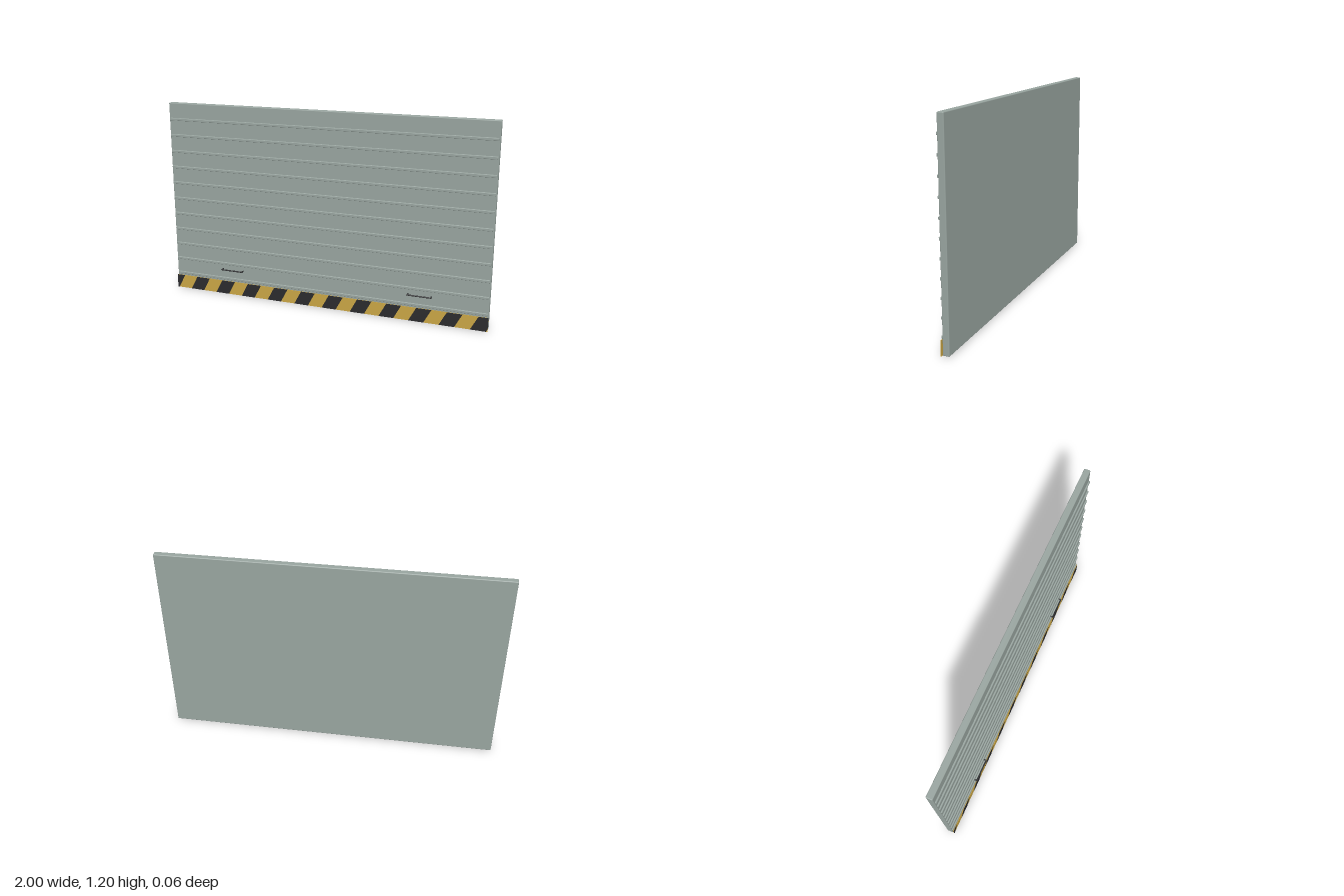
import * as THREE from 'three';
import { RoundedBoxGeometry } from 'three/addons/geometries/RoundedBoxGeometry.js';

const paint = (color) => new THREE.MeshStandardMaterial({ color });

export function createModel() {
  const group = new THREE.Group();
  const grey = paint(0x98a49f), yellow = paint(0xc9a545), black = paint(0x2b2b2d);

  const add = (name, geometry, material, x = 0, y = 0, z = 0) => {
    const mesh = new THREE.Mesh(geometry, material);
    mesh.name = name;
    mesh.position.set(x, y, z);
    group.add(mesh);
    return mesh;
  };

  // Door slab with softened edges
  add('doorPanel', new RoundedBoxGeometry(2, 1.195, 0.037, 2, 0.005), grey, 0, 0.6025, -0.0115);

  // Horizontal ribs across the front
  const rib = new RoundedBoxGeometry(1.99, 0.016, 0.012, 2, 0.003);
  for (let i = 1; i <= 11; i++) add('rib' + i, rib, grey, 0, i * 0.1, 0.009);

  // Warning strip standing just off the slab
  const height = 0.085;
  add('warningStrip', new THREE.BoxGeometry(2, height, 0.003), yellow, 0, height / 2, 0.0165);

  // Slanted dark bands, cut off at the ends of the strip
  const width = 0.09, slant = 0.045;
  for (let i = 0; i < 12; i++) {
    const x = -1.08 + i * 2 * width;
    const points = [[x, 0], [x + width, 0]];
    if (x + width + slant > 1) points.push([1, (1 - x - width) / slant * height], [1, height]);
    else points.push([x + width + slant, height]);
    if (x < -1) {
      points[0][0] = -1;
      points.push([-1, height]);
    } else points.push([x + slant, height]);
    const shape = new THREE.Shape(points.map(([px, py]) => new THREE.Vector2(px, py)));
    add('warningBand' + (i + 1), new THREE.ShapeGeometry(shape), black, 0, 0, 0.0185);
  }

  // Two lifting handles: a bar on two short posts
  for (const side of [-1, 1]) {
    const handle = new THREE.Group();
    handle.name = side < 0 ? 'rightHandle' : 'leftHandle';
    handle.position.set(side * 0.6, 0.162, 0);
    const bar = new THREE.Mesh(new THREE.CylinderGeometry(0.004, 0.004, 0.146, 10), black);
    bar.name = 'handleBar';
    bar.rotation.z = Math.PI / 2;
    bar.position.z = 0.027;
    handle.add(bar);
    for (const end of [-1, 1]) {
      const post = new THREE.Mesh(new THREE.CylinderGeometry(0.004, 0.004, 0.022, 10), black);
      post.name = 'handlePost';
      post.rotation.x = Math.PI / 2;
      post.position.set(end * 0.069, 0, 0.016);
      handle.add(post);
    }
    group.add(handle);
  }
  return group;
}
